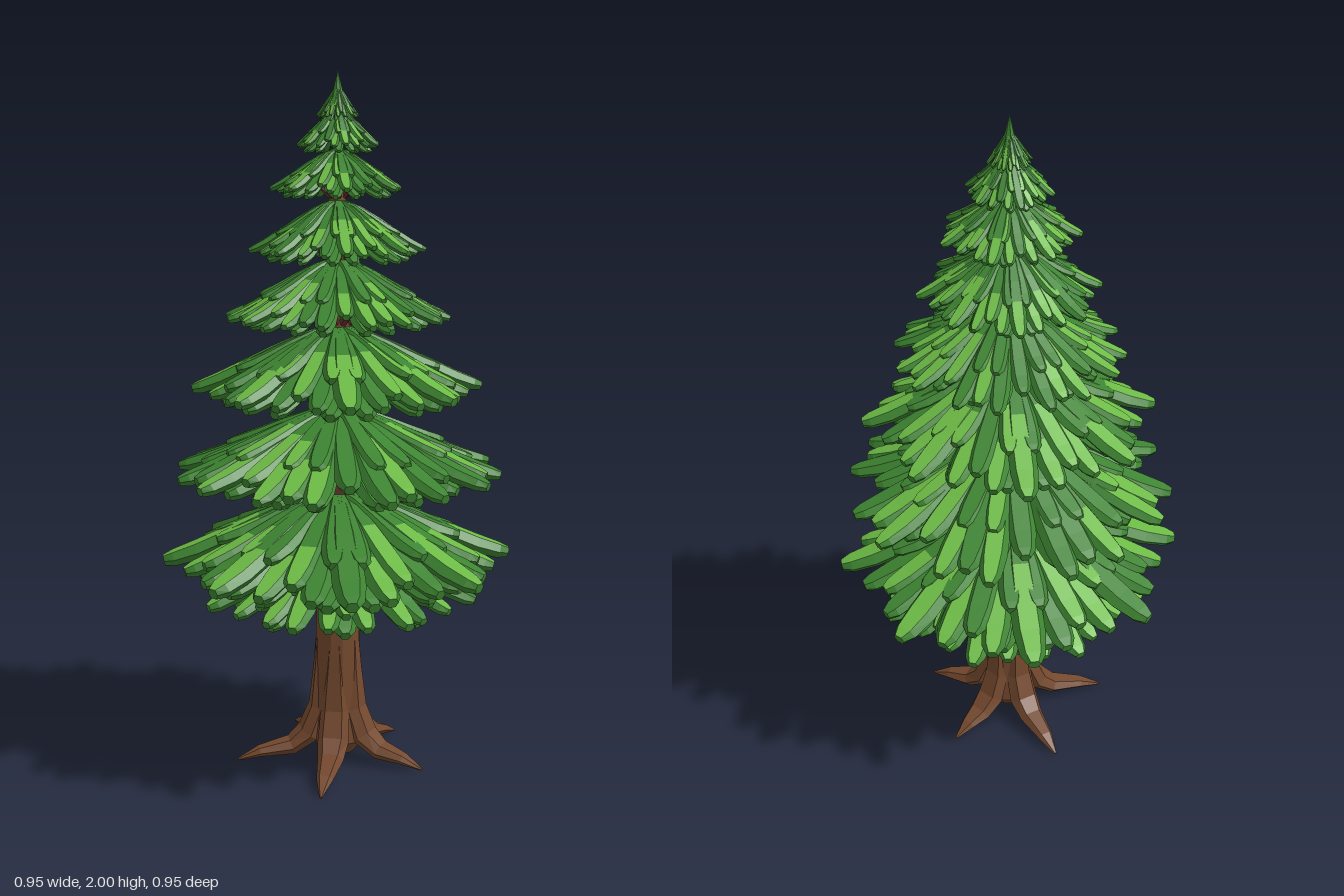
import * as THREE from 'three';

const mat = (name, color) => {
  const m = new THREE.MeshStandardMaterial({ color, flatShading: true });
  m.name = name;
  return m;
};

// small seeded generator
let seed = 7;
const rand = () => (seed = (seed * 16807) % 2147483647) / 2147483647;

// six-sided section: side, upper shoulders, side, belly
const SECTION = [[1, 0], [0.6, 0.75], [-0.6, 0.75], [-1, 0], [-0.55, -0.75], [0.55, -0.75]];

// Sweeps the section along a path of [radius, y, halfWidth, halfThickness] at one heading.
// pick(ring, side) returns the bucket that receives each face.
function sweep(buckets, path, angle, pick) {
  const c = Math.cos(angle), s = Math.sin(angle);
  const rings = path.map(([r, y, w, h], i) => {
    const a = path[Math.max(i - 1, 0)], b = path[Math.min(i + 1, path.length - 1)];
    const len = Math.hypot(b[0] - a[0], b[1] - a[1]);
    const nr = -(b[1] - a[1]) / len, ny = (b[0] - a[0]) / len;
    return SECTION.map(([u, v]) => {
      const rr = r + nr * v * h;
      return [c * rr + s * u * w, y + ny * v * h, s * rr - c * u * w];
    });
  });
  for (let i = 0; i < rings.length - 1; i++) {
    for (let j = 0; j < 6; j++) {
      const k = (j + 1) % 6;
      const A = rings[i][j], B = rings[i][k], C = rings[i + 1][k], D = rings[i + 1][j];
      buckets[pick(i, j)].push(...A, ...B, ...C, ...A, ...C, ...D);
    }
  }
  // end cap
  const last = rings[rings.length - 1];
  for (let j = 1; j < 5; j++) buckets[0].push(...last[0], ...last[j], ...last[j + 1]);
}

function bucketMesh(name, buckets, materials) {
  const geo = new THREE.BufferGeometry();
  let start = 0;
  buckets.forEach((b, i) => {
    geo.addGroup(start, b.length / 3, i);
    start += b.length / 3;
  });
  geo.setAttribute('position', new THREE.Float32BufferAttribute(buckets.flat(), 3));
  geo.computeVertexNormals();
  const mesh = new THREE.Mesh(geo, materials);
  mesh.name = name;
  return mesh;
}

// One drooping needle lobe: arched shoulder, then flattening out to a blunt tip
const LOBE = [[0, 0.35], [0.2, 0.6], [0.42, 0.85], [0.62, 1], [0.8, 1], [0.94, 0.78], [1, 0.4]];
function lobe(buckets, angle, R, top, tip, w, bright) {
  const r0 = Math.min(0.015, R * 0.06);
  const path = LOBE.map(([t, k]) => [
    r0 + (R - r0) * t,
    top + (tip - top) * (0.5 * t + 0.5 * t * t * (3 - 2 * t)),
    w * k,
    w * 0.7 * (0.3 + 0.7 * k),
  ]);
  const from = bright ? (rand() < 0.4 ? 2 : 3) : 99;
  sweep(buckets, path, angle, (i, j) => (j === 1 && i >= from ? 1 : 0));
}

export function createModel() {
  seed = 7;
  const tree = new THREE.Group();
  tree.name = 'pineTree';
  const bark = mat('bark brown', 0x74492e);
  const redWood = mat('red brown wood', 0x6b3030);
  const needles = [mat('needle green', 0x3d8431), mat('light tip green', 0x6cba45)];

  const add = (name, geo, material) => {
    const mesh = new THREE.Mesh(geo, material);
    mesh.name = name;
    tree.add(mesh);
    return mesh;
  };

  // Trunk: lower bole, then a red-brown stretch, then the thin top
  const lathe = (pts) => new THREE.LatheGeometry(pts.map(([x, y]) => new THREE.Vector2(x, y)), 12);
  add('lowerTrunk', lathe([[0, 0.015], [0.05, 0.02], [0.078, 0.06], [0.075, 0.14], [0.071, 0.22], [0.065, 0.4], [0.063, 0.56]]), bark);
  add('middleTrunk', lathe([[0.063, 0.56], [0.054, 0.75], [0.046, 1.0]]), redWood);
  add('upperTrunk', lathe([[0.046, 1.0], [0.036, 1.4], [0.022, 1.7], [0.004, 1.92]]), bark);

  // Five roots running down the trunk and out over the ground
  const roots = [[]];
  [9, 81, 153, 225, 297].forEach((deg, i) => {
    const L = [0.275, 0.315, 0.3, 0.29, 0.25][i];
    sweep(roots, [
      [0.04, 0.48, 0.012, 0.02], [0.046, 0.28, 0.03, 0.032], [0.056, 0.16, 0.042, 0.036],
      [0.088, 0.078, 0.046, 0.04], [0.14, 0.04, 0.038, 0.03], [L * 0.78, 0.026, 0.024, 0.018],
      [L, 0.004, 0.004, 0.004],
    ], THREE.MathUtils.degToRad(deg), () => 0);
  });
  tree.add(bucketMesh('roots', roots, [bark]));

  // Foliage tiers: radius, top, tip height, branch count, heading offset in branch steps,
  // and whether the side lobes of each branch outreach its middle one
  const tiers = [
    [0.41, 0.70, 0.515, 8, 0, false],
    [0.505, 0.80, 0.615, 8, 0.5, false],
    [0.47, 1.045, 0.88, 8, 0, true],
    [0.415, 1.28, 1.115, 8, 0.5, false],
    [0.32, 1.47, 1.325, 8, 0, true],
    [0.25, 1.635, 1.505, 8, 0.5, false],
    [0.19, 1.775, 1.675, 7, 0.25, false],
    [0.118, 1.885, 1.795, 6, 0, false],
    [0.06, 1.945, 1.875, 6, 0.5, false],
  ];
  const up = new THREE.Vector3(0, 1, 0);
  tiers.forEach(([R, top, tip, n, off, paired], ti) => {
    const buckets = [[], []];
    const step = (Math.PI * 2) / n;
    const w = R * step * 0.105;
    const drop = top - tip;
    const wobble = () => (rand() - 0.5) * step * 0.05;
    const [midR, sideR, spread] = paired ? [0.93, 1, 0.21] : [1, 0.9, 0.3];
    const branches = new THREE.Group();
    branches.name = `tier${ti + 1}Branches`;
    for (let i = 0; i < n; i++) {
      const a = (i + off) * step;
      // middle lobe of the branch
      lobe(buckets, a + wobble(), R * midR, top + 0.005, tip, w * 1.1, rand() < 0.85);
      for (const side of [-1, 1]) {
        // side lobes
        lobe(buckets, a + side * step * spread + wobble(), R * sideR, top - 0.01, tip - drop * 0.05, w, rand() < 0.7);
        // short lobes laid over the top
        lobe(buckets, a + side * step * 0.15 + wobble(), R * 0.7, top + 0.008, tip + drop * 0.36, w * 0.9, rand() < 0.4);
        // lobes hanging beneath
        if (ti > 0) lobe(buckets, a + side * step * 0.2 + wobble(), R * 0.8, top - drop * 0.3, tip - drop * 0.2, w * 1.05, false);
      }
      // lobe filling the gap between branches
      lobe(buckets, a + step / 2 + wobble(), R * 0.83, top, tip + drop * 0.12, w, rand() < 0.6);
      if (ti === 0) lobe(buckets, a + step / 2 + wobble(), 0.3, top - 0.04, 0.47, w * 1.1, false);

      // bare branch under the needles
      if (ti < 7) {
        const p = new THREE.Vector3(Math.cos(a) * 0.02, top - drop * 1.2, Math.sin(a) * 0.02);
        const q = new THREE.Vector3(Math.cos(a) * R * 0.4, top - drop * 0.65, Math.sin(a) * R * 0.4);
        const dir = q.clone().sub(p);
        const b = new THREE.Mesh(
          new THREE.CylinderGeometry(R * 0.02, R * 0.045, dir.length(), 6), ti === 0 ? bark : redWood);
        b.name = 'branch';
        b.position.copy(p).add(q).multiplyScalar(0.5);
        b.quaternion.setFromUnitVectors(up, dir.normalize());
        branches.add(b);
      }
    }
    tree.add(bucketMesh(`tier${ti + 1}Needles`, buckets, needles));
    if (branches.children.length) tree.add(branches);
  });

  // Pointed crown
  const crown = add('crownTip', new THREE.ConeGeometry(0.03, 0.12, 7), needles[0]);
  crown.position.y = 1.94;
  return tree;
}
